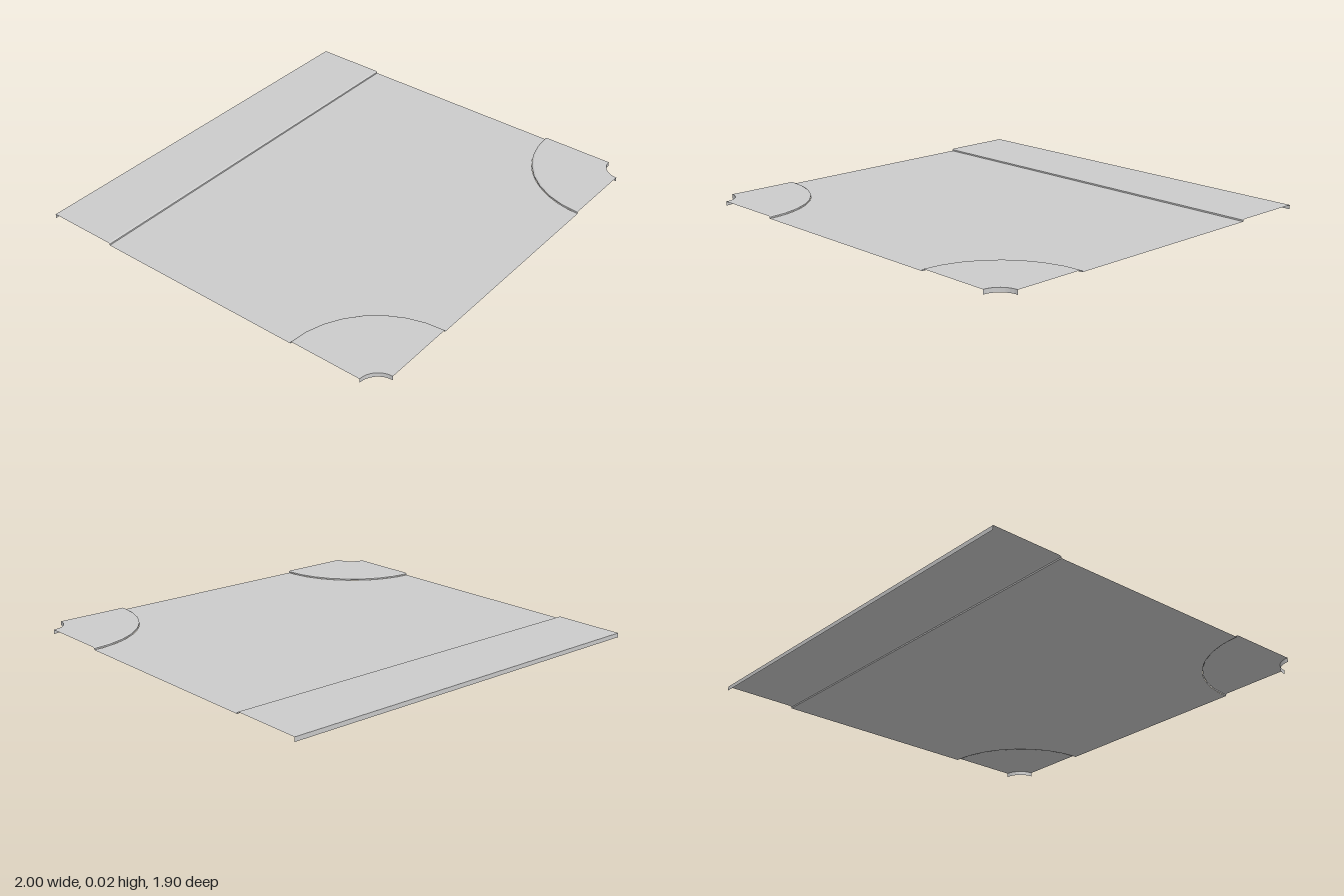
import * as THREE from 'three';

const END = 0.952;      // half depth of the tile
const TOP = 0.021;      // pavement height
const ROAD = 0.01;      // road height
const CURB = 0.46;      // radius of the corner kerbs
const HOLE = 0.096;     // radius of the corner cut-outs
const KERB_Z = -0.588;  // foot of the straight kerb
const LIP = 0.008;      // kerb bevel

export function createModel() {
  const group = new THREE.Group();
  const material = new THREE.MeshStandardMaterial({
    color: 0xcccccc, flatShading: true, side: THREE.DoubleSide,
  });
  const add = (name, geometry) => {
    const mesh = new THREE.Mesh(geometry, material);
    mesh.name = name;
    group.add(mesh);
    return mesh;
  };

  // Road surface with the two rounded corners left out
  const shape = new THREE.Shape();
  shape.moveTo(-1, -KERB_Z);
  shape.lineTo(-1, CURB - END);
  shape.absarc(-1, -END, CURB, Math.PI / 2, 0, true);
  shape.lineTo(1 - CURB, -END);
  shape.absarc(1, -END, CURB, Math.PI, Math.PI / 2, true);
  shape.lineTo(1, -KERB_Z);
  shape.closePath();
  add('road', new THREE.ShapeGeometry(shape, 8).rotateX(-Math.PI / 2)).position.y = ROAD;

  // Straight pavement: a strip folded along its profile (z, y), back to front
  const profile = [
    [-END, 0], [-END, TOP], [KERB_Z - LIP, TOP], [KERB_Z, TOP - 0.004], [KERB_Z, ROAD],
  ];
  const strip = new THREE.PlaneGeometry(2, 1, 1, profile.length - 1);
  const pos = strip.attributes.position;
  for (let i = 0; i < pos.count; i++) {
    const [z, y] = profile[Math.floor(i / 2)];
    pos.setXYZ(i, pos.getX(i), y, z);
  }
  strip.computeVertexNormals();
  add('straightPavement', strip);

  // Quarter-round pavements: kerb, bevel, top and inner wall
  const ring = [
    [CURB, ROAD], [CURB, TOP - 0.004], [CURB - LIP, TOP], [HOLE, TOP], [HOLE, 0],
  ].map(([r, y]) => new THREE.Vector2(r, y));
  for (const side of [-1, 1]) {
    const start = side > 0 ? Math.PI : Math.PI / 2;
    const corner = add(side > 0 ? 'leftCornerPavement' : 'rightCornerPavement',
      new THREE.LatheGeometry(ring, 8, start, Math.PI / 2));
    corner.position.set(side, 0, END);
  }
  return group;
}
